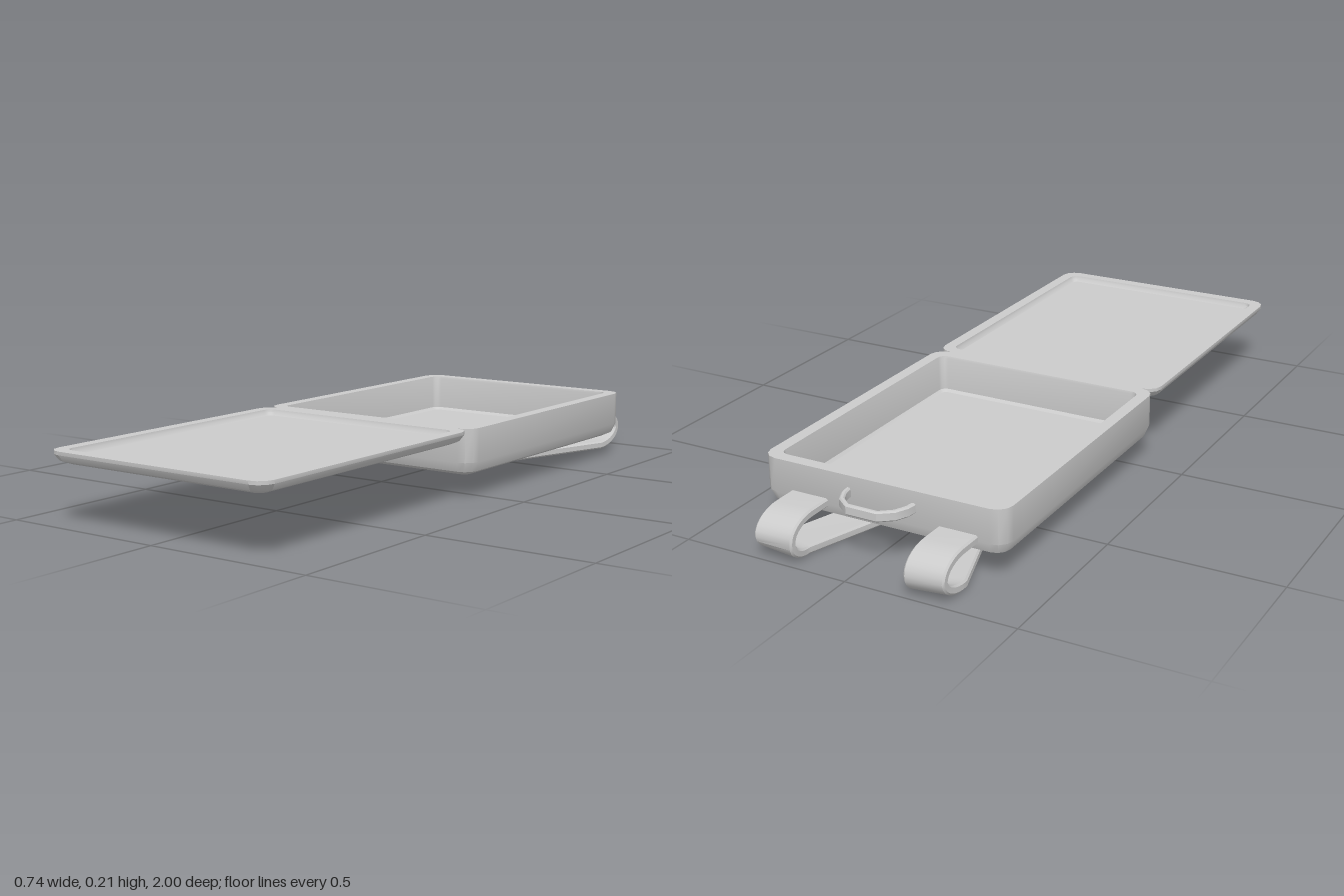
import * as THREE from 'three';
import { toCreasedNormals } from 'three/addons/utils/BufferGeometryUtils.js';

const material = new THREE.MeshStandardMaterial({ color: 0xcccccc });
const V = (x, y, z) => new THREE.Vector3(x, y, z);

// Closed skin through a list of rings (arrays of Vector3), capped at both ends
function loft(rings, crease = 0.6) {
  const pos = [];
  const tri = (...pts) => pts.forEach((p) => pos.push(p.x, p.y, p.z));
  const n = rings[0].length;
  const middle = (ring) => ring.reduce((sum, p) => sum.add(p), V(0, 0, 0)).divideScalar(n);
  const first = rings[0], last = rings[rings.length - 1];
  const start = middle(first), end = middle(last);
  for (let j = 0; j < n; j++) {
    const k = (j + 1) % n;
    tri(start, first[j], first[k]);
    for (let i = 0; i < rings.length - 1; i++) {
      const a = rings[i], b = rings[i + 1];
      tri(a[j], b[j], a[k]);
      tri(a[k], b[j], b[k]);
    }
    tri(last[j], end, last[k]);
  }
  const geometry = new THREE.BufferGeometry();
  geometry.setAttribute('position', new THREE.Float32BufferAttribute(pos, 3));
  return toCreasedNormals(geometry, crease);
}

// Horizontal rounded rectangle
function roundedRing(hx, hz, r, y, segments = 3) {
  const ring = [];
  for (let q = 0; q < 4; q++) {
    const sx = q === 0 || q === 3 ? 1 : -1, sz = q < 2 ? 1 : -1;
    for (let i = 0; i <= segments; i++) {
      const a = (q + i / segments) * Math.PI / 2;
      ring.push(V(sx * (hx - r) + r * Math.cos(a), y, sz * (hz - r) + r * Math.sin(a)));
    }
  }
  return ring;
}

// Open tray: steps are [inset from the outer edge, height]
function tray(hx, hz, steps) {
  return loft(steps.map(([inset, y]) =>
    roundedRing(hx - inset, hz - inset, Math.max(0.045 - inset * 0.6, 0.012), y)));
}

// Flat band with chamfered edges along a path; across(i) is its width direction
function band(points, across, width, thickness, chamfer) {
  const w = width / 2, t = thickness / 2, c = chamfer;
  const section = [[w, t - c], [w - c, t], [c - w, t], [-w, t - c],
    [-w, c - t], [c - w, -t], [w - c, -t], [w, c - t]];
  return loft(points.map((p, i) => {
    const before = points[Math.max(i - 1, 0)], after = points[Math.min(i + 1, points.length - 1)];
    const u = across(i);
    const normal = u.clone().cross(after.clone().sub(before)).normalize();
    return section.map(([a, b]) => p.clone().addScaledVector(u, a).addScaledVector(normal, b));
  }));
}

// Shoulder strap: short upper arm, rear loop, long lower arm slanting to the middle
function strap(side) {
  const points = [V(side * 0.22, 0.112, -0.82)], angles = [0];
  const slant = 0.3, steps = 14;
  for (let i = 0; i <= steps; i++) {
    const f = i / steps, a = f * Math.PI;
    points.push(V(side * 0.22, 0.0625 + 0.05 * Math.cos(a), -0.9 - 0.088 * Math.sin(a)));
    angles.push(slant * Math.max(0, f * 2 - 1));
  }
  points.push(V(side * 0.067, 0.0125, -0.437));
  angles.push(slant);
  return band(points, (i) => V(Math.cos(angles[i]), 0, side * Math.sin(angles[i])), 0.118, 0.025, 0.005);
}

export function createModel() {
  const model = new THREE.Group();
  const add = (name, geometry, x = 0, z = 0) => {
    const mesh = new THREE.Mesh(geometry, material);
    mesh.name = name;
    mesh.position.set(x, 0, z);
    model.add(mesh);
  };

  // Deep body and shallow lid, opened flat and meeting at the hinge line
  add('body', tray(0.372, 0.4575, [
    [0.037, 0.067], [0.012, 0.079], [0, 0.108], [0, 0.207],
    [0.036, 0.207], [0.038, 0.2], [0.04, 0.1], [0.048, 0.092],
  ]), 0, -0.3725);
  add('lid', tray(0.372, 0.4575, [
    [0.037, 0.169], [0.012, 0.179], [0, 0.197], [0, 0.207],
    [0.035, 0.207], [0.037, 0.199], [0.045, 0.19],
  ]), 0, 0.5425);

  // Straps
  add('leftStrap', strap(1));
  add('rightStrap', strap(-1), -0.015);

  // Carry handle
  const handlePath = [[-0.1, -0.825], [-0.096, -0.855], [-0.08, -0.888], [-0.045, -0.915],
    [0.045, -0.915], [0.08, -0.888], [0.096, -0.855], [0.1, -0.825]]
    .map(([x, z]) => V(x, 0.158, z));
  add('handle', band(handlePath, () => V(0, 1, 0), 0.029, 0.015, 0.004), -0.005);

  return model;
}
